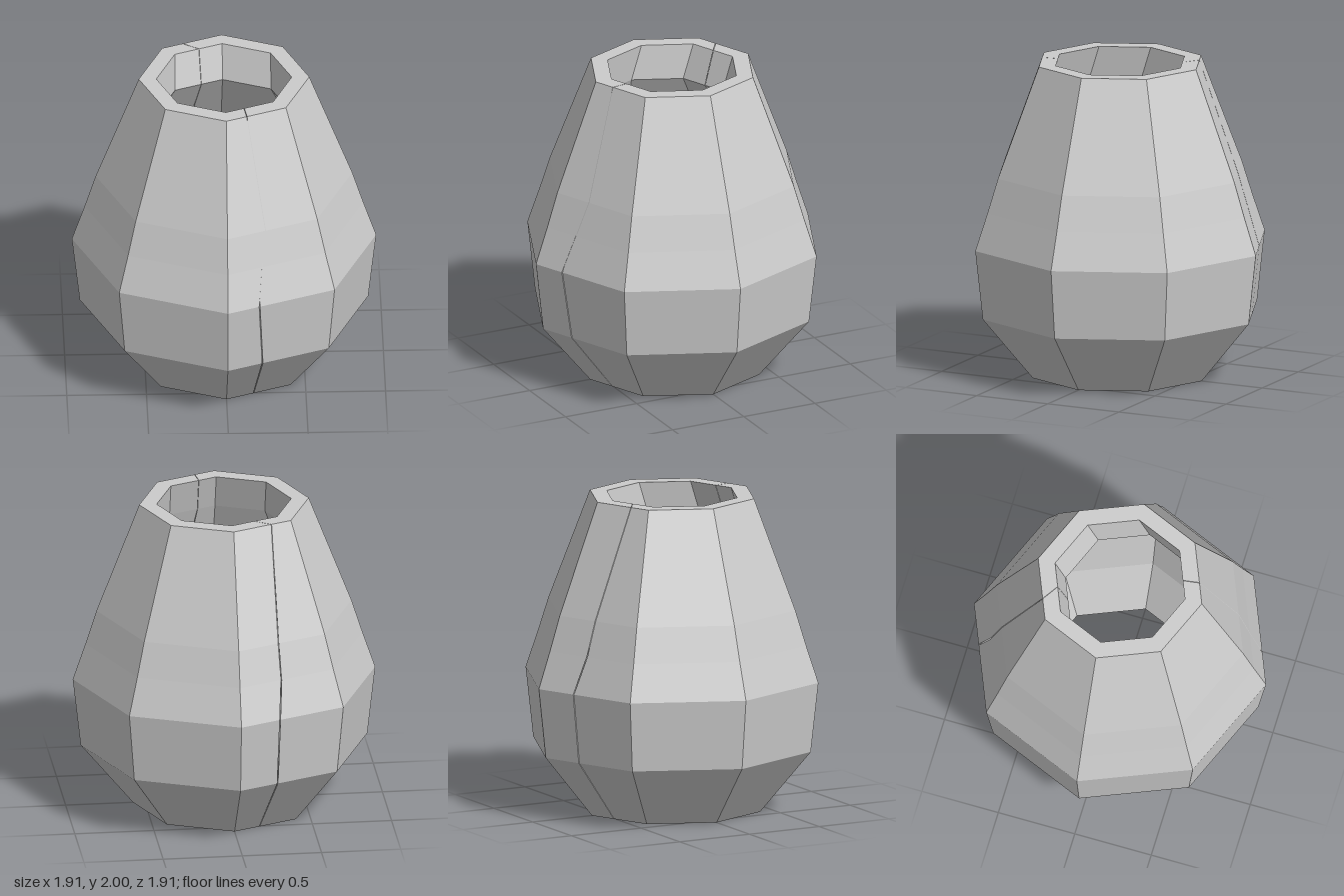
import * as THREE from 'three';

const material = new THREE.MeshStandardMaterial({ color: 0xcccccc, flatShading: true });

// Wall section: [radius, y, front crack angle, back crack angle, z shift]
const outer = [
  [0.575, 0, 18.8, 18, 0],
  [0.905, 0.4, 15.1, 17, 0],
  [0.955, 0.845, 12.9, 16.8, 0],
  [0.875, 1.08, 15.6, 19.8, 0],
  [0.805, 1.3, 18.9, 20.7, 0],
  [0.535, 2, 15.2, 30, 0],
];
const inner = [
  [0.425, 2, 17, 22, 0],
  [0.425, 1.78, 17, 20, 0.07],
  [0.68, 1.3, 18, 20, 0],
  [0.81, 0.845, 15, 18, 0],
  [0.73, 0.4, 17, 18, 0],
];

// Point on an eight-sided ring, angle measured from the front towards +x
function ringPoint([r, y, , , dz], deg) {
  const fromMiddle = ((deg + 720) % 45) - 22.5;
  const rho = r * Math.cos(Math.PI / 8) / Math.cos(THREE.MathUtils.degToRad(fromMiddle));
  const a = THREE.MathUtils.degToRad(deg);
  return new THREE.Vector3(Math.sin(a) * rho, y, Math.cos(a) * rho + dz);
}

// One half of the vessel: swept wall between two cracks, closed by fracture faces
function half(name, section, anglesFor) {
  const columns = [0, 1, 2, 3, 4, 5].map(c => section.map(s => ringPoint(s, anglesFor(s)[c])));
  const positions = [];
  const tri = (a, b, c) => {
    const area = b.clone().sub(a).cross(c.clone().sub(a)).length();
    if (area > 1e-7) for (const p of [a, b, c]) positions.push(p.x, p.y, p.z);
  };
  for (let c = 0; c < 5; c++) {
    const p = columns[c], q = columns[c + 1];
    for (let i = 0; i < section.length - 1; i++) {
      tri(p[i], q[i], q[i + 1]);
      tri(p[i], q[i + 1], p[i + 1]);
    }
  }
  // Fracture faces
  const flat = section.map(s => new THREE.Vector2(s[0], s[1]));
  for (const [a, b, c] of THREE.ShapeUtils.triangulateShape(flat.slice(), [])) {
    const ccw = THREE.ShapeUtils.area([flat[a], flat[b], flat[c]]) > 0;
    const [j, k] = ccw ? [b, c] : [c, b];
    const first = columns[0], last = columns[5];
    tri(first[a], first[j], first[k]);
    tri(last[a], last[k], last[j]);
  }
  const geometry = new THREE.BufferGeometry();
  geometry.setAttribute('position', new THREE.Float32BufferAttribute(positions, 3));
  geometry.computeVertexNormals();
  const mesh = new THREE.Mesh(geometry, material);
  mesh.name = name;
  return mesh;
}

export function createModel() {
  const group = new THREE.Group();
  group.name = 'crackedJar';
  const gap = 0.2;

  // Left half is an open shell without a floor
  const leftSection = [...outer, ...inner, [0.565, 0, 18.8, 18, 0]];
  group.add(half('leftHalf', leftSection,
    s => [s[2] + gap, 45, 90, 135, 180, 180 + s[3] - gap]));

  // Right half carries the thick floor
  const rightSection = [[0, 0, 18, 18, 0], ...outer, ...inner, [0, 0.4, 18, 18, 0]];
  group.add(half('rightHalf', rightSection,
    s => [180 + s[3] + gap, 225, 270, 315, 360, 360 + s[2] - gap]));

  return group;
}
